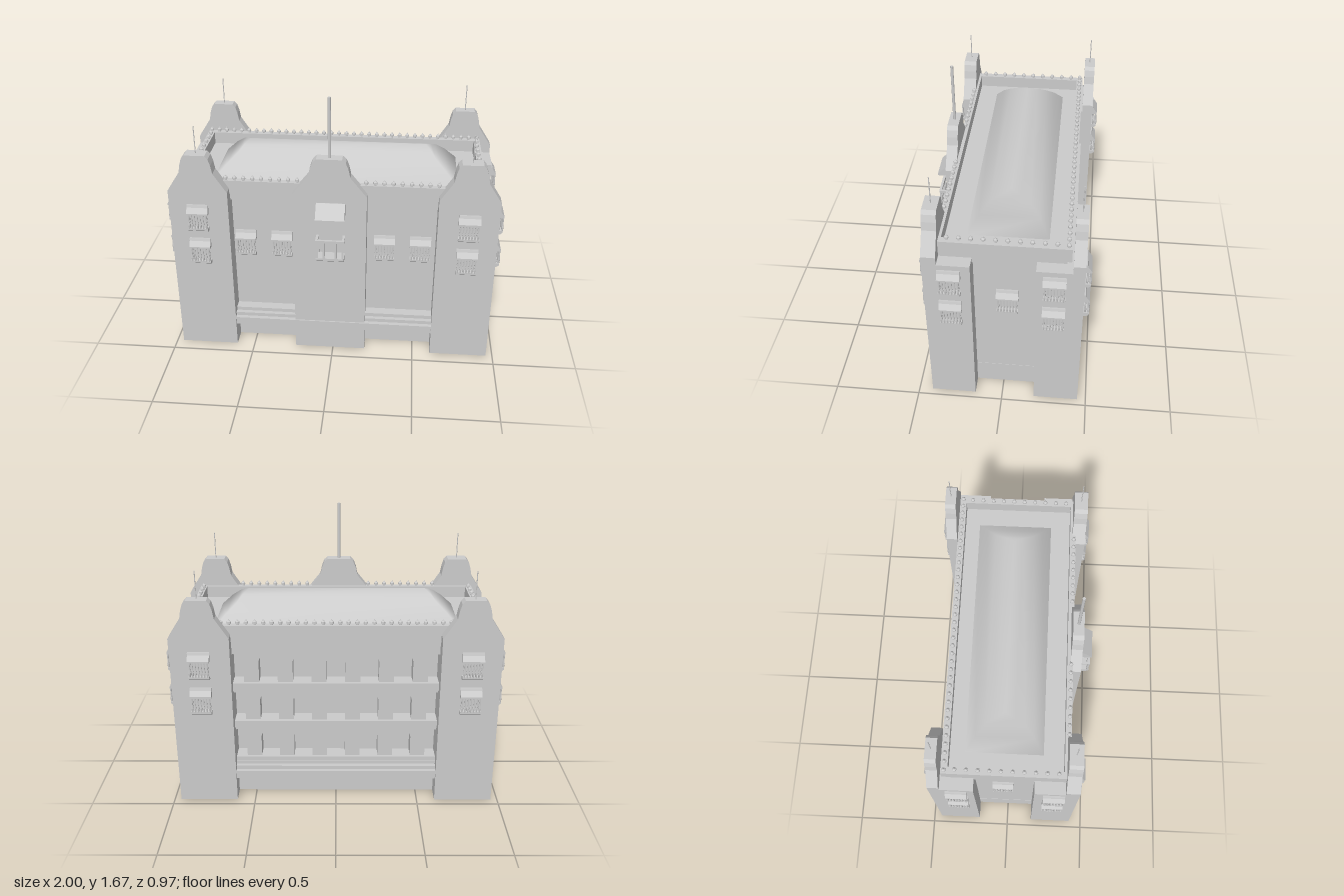
import * as THREE from 'three';
import { mergeVertices } from 'three/addons/utils/BufferGeometryUtils.js';

const grey = new THREE.MeshStandardMaterial({ color: 0xcccccc, flatShading: true });
const open = new THREE.MeshStandardMaterial({ color: 0xcccccc, flatShading: true, side: THREE.DoubleSide });
const smooth = new THREE.MeshStandardMaterial({ color: 0xcccccc, side: THREE.DoubleSide });

export function createModel() {
  const root = new THREE.Group();

  const add = (name, geo, parent = root, mat = grey) => {
    const m = new THREE.Mesh(geo, mat);
    m.name = name;
    parent.add(m);
    return m;
  };
  // Box given by its limits on each axis
  const box = (name, x0, x1, y0, y1, z0, z1, parent = root) => {
    const m = add(name, new THREE.BoxGeometry(x1 - x0, y1 - y0, z1 - z0), parent);
    m.position.set((x0 + x1) / 2, (y0 + y1) / 2, (z0 + z1) / 2);
    return m;
  };
  // The same box without its underside
  const openBox = (...args) => {
    const m = box(...args);
    const faces = [...m.geometry.index.array];
    faces.splice(18, 6);
    m.geometry.setIndex(faces);
    m.material = open;
  };
  const extrude = (shape, depth, curveSegments = 8) =>
    new THREE.ExtrudeGeometry(shape, { depth, bevelEnabled: false, curveSegments });
  const polygon = pts => new THREE.Shape(pts.map(p => new THREE.Vector2(p[0], p[1])));
  // Side profile of [outward, up] points swept across a width, facing +z
  const swept = (name, pts, width, parent) => {
    const geo = extrude(polygon(pts), width);
    geo.translate(0, 0, -width / 2);
    geo.rotateY(-Math.PI / 2);
    return add(name, geo, parent);
  };

  // Main block on a hollow foundation, with a cornice
  box('mainBlock', -0.853, 0.853, 0.14, 1.05, -0.28, 0.309);
  openBox('foundation', -0.855, 0.855, 0, 0.145, -0.34, 0.31);
  box('cornice', -0.885, 0.885, 1.0, 1.045, -0.35, 0.345);

  // Parapet frame around the roof
  const frame = polygon([[-0.885, -0.36], [0.885, -0.36], [0.885, 0.375], [-0.885, 0.375]]);
  frame.holes.push(new THREE.Path([[-0.845, -0.325], [-0.845, 0.335], [0.845, 0.335], [0.845, -0.325]]
    .map(p => new THREE.Vector2(...p))));
  const parapet = add('parapet', extrude(frame, 0.087));
  parapet.rotation.x = -Math.PI / 2;
  parapet.position.y = 1.043;
  box('roofDeck', -0.85, 0.85, 1.03, 1.055, -0.34, 0.33);

  // Vaulted hip roof from rectangular rings: half length, half depth, height
  const rings = [[0.74, 0.23, 1.05], [0.66, 0.17, 1.135], [0.6, 0.115, 1.187],
    [0.57, 0.055, 1.215], [0.535, 0, 1.237]];
  const pos = [], idx = [];
  rings.forEach(([x, z, y], r) => {
    [[-x, z], [x, z], [x, -z], [-x, -z]].forEach(c => pos.push(c[0] - 0.005, y, c[1] - 0.02));
    if (r === 0) return;
    for (let i = 0; i < 4; i++) {
      const j = (i + 1) % 4, a = (r - 1) * 4, b = r * 4;
      idx.push(a + i, a + j, b + j, a + i, b + j, b + i);
    }
  });
  const rawRoof = new THREE.BufferGeometry();
  rawRoof.setAttribute('position', new THREE.Float32BufferAttribute(pos, 3));
  rawRoof.setIndex(idx);
  const roof = mergeVertices(rawRoof);
  roof.computeVertexNormals();
  add('vaultedRoof', roof, root, smooth);

  // Finials along the parapet
  const finialGeo = new THREE.LatheGeometry([[0.007, 0], [0.007, 0.009], [0.013, 0.011], [0.012, 0.022], [0.005, 0.028], [0, 0.038]]
    .map(p => new THREE.Vector2(...p)), 8);
  const finial = (x, z) => add('finial', finialGeo).position.set(x, 1.128, z);
  for (let i = 0; i < 36; i++) finial(-0.865 + i * 1.73 / 35, -0.355);
  for (const s of [-1, 1]) {
    for (let i = 0; i < 10; i++) finial(s * 0.86, -0.295 + i * 0.0655);
    for (let i = 0; i < 9; i++) finial(-0.01 + s * (0.2 + i * 0.0525), 0.347);
  }

  // Towers: shaft, stepped gable and flagpole
  const profile = [[1, 1.08], [0.56, 1.2], [0.51, 1.25], [0.44, 1.29], [0.34, 1.31]];
  const tower = (name, cx, half, zOut, zIn, thick, poleTop, poleR) => {
    const g = new THREE.Group();
    g.name = name;
    root.add(g);
    const zGable = zOut - Math.sign(zOut) * thick;
    openBox('shaft', cx - half, cx + half, 0, 1.03, Math.min(zOut, zIn), Math.max(zOut, zIn), g);
    const right = profile.map(([f, y]) => [cx + f * half, y]);
    const left = profile.map(([f, y]) => [cx - f * half, y]).reverse();
    const gable = add('gable', extrude(polygon([[cx - half, 1.03], [cx + half, 1.03], ...right, ...left]), thick), g);
    gable.position.z = Math.min(zOut, zGable);
    const pole = add('flagpole', new THREE.CylinderGeometry(poleR, poleR, poleTop - 1.3, 8), g);
    pole.position.set(cx, (poleTop + 1.3) / 2, (zOut + zGable) / 2);
  };
  for (const s of [-1, 1]) {
    tower('frontCornerTower', s * 0.785, 0.175, 0.42, 0.16, 0.08, 1.475, 0.003);
    tower('backCornerTower', s * 0.785, 0.175, -0.45, -0.19, 0.065, 1.475, 0.003);
  }
  tower('centreTower', -0.018, 0.217, 0.41, 0.2, 0.065, 1.67, 0.009);

  // Stepped plinths between the towers, front and back
  const steps = [[0.14, 0.18, 0.014], [0.18, 0.2, 0], [0.2, 0.222, 0.025], [0.222, 0.245, 0.05]];
  for (const [y0, y1, inset] of steps) {
    box('frontPlinthStep', -0.62, 0.62, y0, y1, 0.25, 0.418 - inset);
    box('backPlinthStep', -0.62, 0.62, y0, y1, -0.443 + inset, -0.25);
  }

  // Back arcade: three storeys of arches over ledges
  const wall = polygon([[-0.69, 0.2], [0.69, 0.2], [0.69, 1.045], [-0.69, 1.045]]);
  for (let row = 0; row < 3; row++) {
    const y = 0.265 + row * 0.25;
    for (let i = -3; i <= 3; i++) {
      const hole = new THREE.Path();
      hole.moveTo(i * 0.2 - 0.055, y);
      hole.lineTo(i * 0.2 - 0.055, y + 0.13);
      hole.absarc(i * 0.2, y + 0.13, 0.055, Math.PI, 0, true);
      hole.lineTo(i * 0.2 + 0.055, y);
      wall.holes.push(hole);
    }
    box('arcadeLedge', -0.62, 0.62, y - 0.045, y + 0.004, -0.388, -0.3);
  }
  add('arcadeWall', extrude(wall, 0.09)).position.z = -0.368;

  // Small canopied balcony: origin at its foot on the wall, facing local +z
  const barGeo = new THREE.LatheGeometry([[0.004, 0], [0.007, 0.025], [0.004, 0.05], [0.004, 0.095]]
    .map(p => new THREE.Vector2(...p)), 6);
  const balcony = (x, y, z, turn) => {
    const g = new THREE.Group();
    g.name = 'balcony';
    g.position.set(x, y, z);
    g.rotation.y = turn;
    root.add(g);
    swept('corbel', [[0, 0], [0.018, 0], [0.034, 0.012], [0.034, 0.025], [0, 0.025]], 0.12, g);
    swept('canopy', [[0, 0.112], [0.035, 0.112], [0.035, 0.122], [0.014, 0.152], [0.01, 0.168], [0, 0.168]], 0.126, g);
    for (let i = 0; i < 7; i++) add('baluster', barGeo, g).position.set(-0.051 + i * 0.017, 0.02, 0.031);
    for (const s of [-1, 1]) add('sideBaluster', barGeo, g).position.set(s * 0.051, 0.02, 0.012);
  };
  for (const s of [-1, 1]) {
    for (const y of [0.605, 0.83]) {
      balcony(s * 0.79, y, 0.42, 0);
      balcony(s * 0.79, y, -0.45, Math.PI);
      balcony(s * 0.96, y, 0.275, s * Math.PI / 2);
      balcony(s * 0.96, y, -0.29, s * Math.PI / 2);
    }
    balcony(s * 0.853, 0.61, -0.027, s * Math.PI / 2);
  }
  for (const x of [-0.535, -0.315, 0.305, 0.52]) balcony(x, 0.61, 0.309, 0);

  // Large centre balcony with open rail, and the sloping hood above it
  const c = new THREE.Group();
  c.name = 'centreBalcony';
  c.position.set(-0.01, 0, 0.4);
  root.add(c);
  swept('floor', [[0, 0.672], [0.06, 0.672], [0.085, 0.69], [0.085, 0.705], [0, 0.705]], 0.165, c);
  box('frontRail', -0.085, 0.085, 0.81, 0.824, 0.07, 0.085, c);
  for (const s of [-1, 1]) {
    const rail = box('sideRail', -0.007, 0.007, 0.81, 0.824, 0, 0.075, c);
    rail.position.x = s * 0.078;
    for (const x of [0.075, 0.035]) box('post', s * x - 0.006, s * x + 0.006, 0.7, 0.815, 0.071, 0.083, c);
    box('wallPost', s * 0.075 - 0.006, s * 0.075 + 0.006, 0.7, 0.815, 0, 0.014, c);
  }
  swept('hood', [[0, 0.948], [0.085, 0.948], [0.085, 0.96], [0.012, 1.035], [0, 1.035]], 0.17, c);

  return root;
}
